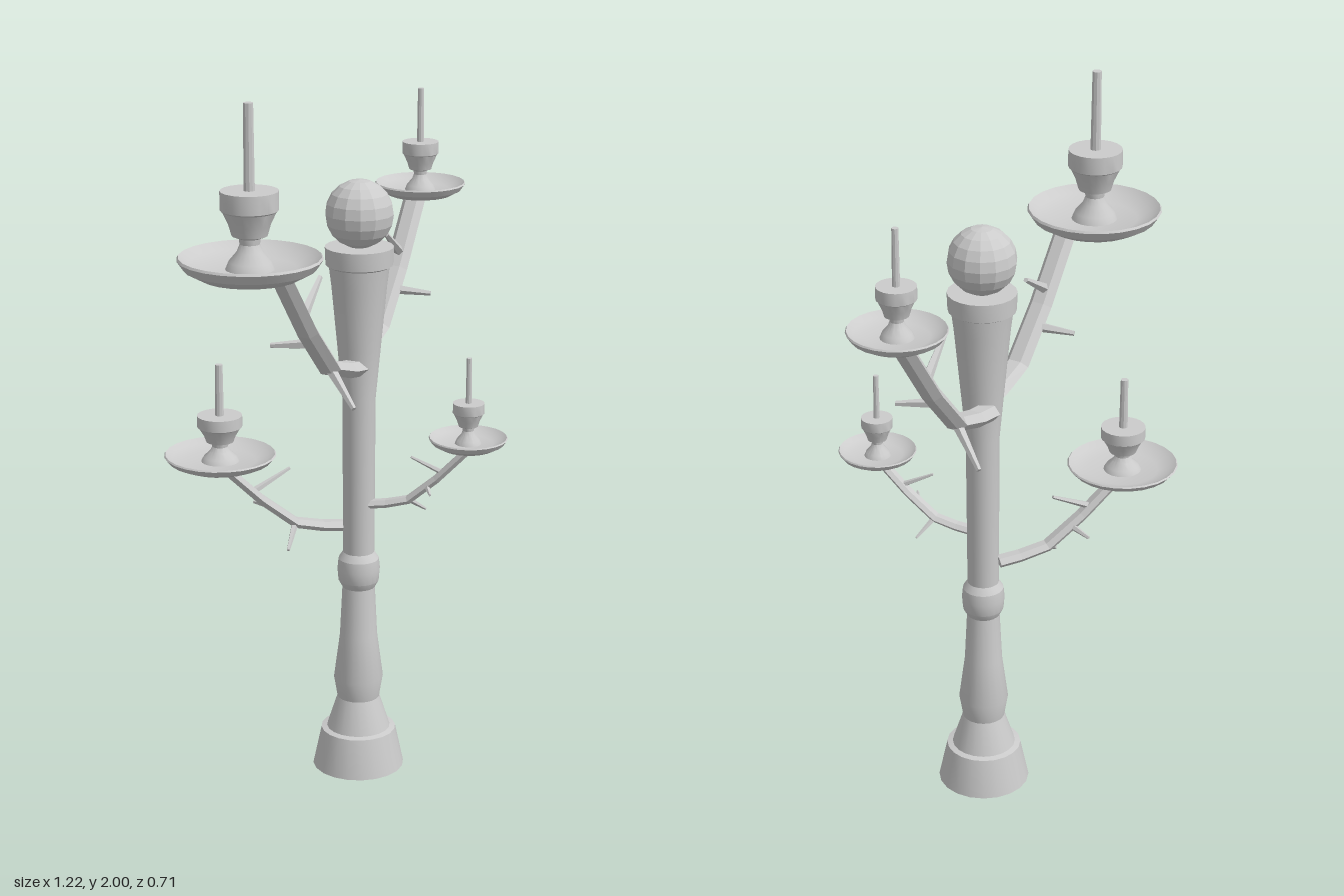
import * as THREE from 'three';
import { toCreasedNormals } from 'three/addons/utils/BufferGeometryUtils.js';

const material = new THREE.MeshStandardMaterial({ color: 0xcccccc });
const flatMaterial = new THREE.MeshStandardMaterial({ color: 0xcccccc, flatShading: true });

function named(geometry, name, mat = material) {
  const mesh = new THREE.Mesh(geometry, mat);
  mesh.name = name;
  return mesh;
}

// Turned part from [radius, height] pairs, bottom to top
function turned(profile, sides, name) {
  const points = profile.map(([r, y]) => new THREE.Vector2(r, y));
  return named(toCreasedNormals(new THREE.LatheGeometry(points, sides), 0.45), name);
}

// Six-sided branch swept along a path in the xy plane, wider than it is tall
function branch(path, halfWidth) {
  const positions = [], index = [], n = 6, end = path.length - 1;
  path.forEach((p, i) => {
    const tangent = path[Math.min(i + 1, end)].clone().sub(path[Math.max(i - 1, 0)]).normalize();
    const r = halfWidth * (1 - 0.1 * i / end);
    for (let k = 0; k < n; k++) {
      const a = k / n * Math.PI * 2, rise = Math.sin(a) * r * 0.65;
      positions.push(p.x - tangent.y * rise, p.y + tangent.x * rise, Math.cos(a) * r);
    }
  });
  for (let i = 0; i < end; i++) {
    for (let k = 0; k < n; k++) {
      const a = i * n + k, b = i * n + (k + 1) % n;
      index.push(a, a + n, b, b, a + n, b + n);
    }
  }
  // End caps
  for (let k = 1; k < n - 1; k++) {
    index.push(0, k, k + 1, end * n, end * n + k + 1, end * n + k);
  }
  const geometry = new THREE.BufferGeometry();
  geometry.setAttribute('position', new THREE.Float32BufferAttribute(positions, 3));
  geometry.setIndex(index);
  geometry.computeVertexNormals();
  return named(geometry, 'branch', flatMaterial);
}

// Tapered spike from root to tip
function thorn(root, tip, radius) {
  const dir = tip.clone().sub(root);
  const geometry = new THREE.CylinderGeometry(radius * 0.45, radius, dir.length(), 5);
  const mesh = named(geometry, 'thorn', flatMaterial);
  mesh.position.copy(root).add(tip).multiplyScalar(0.5);
  mesh.quaternion.setFromUnitVectors(new THREE.Vector3(0, 1, 0), dir.normalize());
  return mesh;
}

// Every arm shares this curve: fraction of its reach, fraction of its rise
const ARM_CURVE = [[0, 0], [0.17, 0.035], [0.39, 0.12], [0.67, 0.48], [1, 1]];

// Thorn root (reach, rise) and tip (reach, rise, sideways in branch widths)
const THORNS = [
  { root: [0.74, 0.58], tip: [0.42, 0.81, 0.5] },
  { root: [0.57, 0.36], tip: [0.65, 0.33, 3] },
  { root: [0.39, 0.13], tip: [0.52, -0.11, -2.75] }
];

// Thorny arm running from its foot on the column to its end under the saucer
function thornyArm(foot, end, halfWidth) {
  const [dx, rise, dz] = end.map((v, i) => v - foot[i]);
  const reach = Math.hypot(dx, dz);
  const place = ([s, y, side = 0]) => new THREE.Vector3(s * reach, y * rise, side * halfWidth);
  const group = new THREE.Group();
  group.name = 'thornyBranch';
  group.add(branch(ARM_CURVE.map(place), halfWidth));
  for (const { root, tip } of THORNS) {
    group.add(thorn(place(root), place(tip), halfWidth * 0.42));
  }
  group.position.set(...foot);
  group.rotation.y = Math.atan2(-dz, dx);
  return group;
}

// Drip saucer, candle cup and candle, with width and height factors
function candleHolder(position, width, height) {
  const sized = profile => profile.map(([r, y]) => [r * width, y * height]);
  const group = new THREE.Group();
  group.name = 'candleHolder';
  group.add(
    turned(sized([[0, 0], [0.07, 0.001], [0.13, 0.015], [0.17, 0.037], [0.187, 0.062],
      [0.183, 0.068], [0.16, 0.05], [0.12, 0.036], [0, 0.034]]), 24, 'saucer'),
    turned(sized([[0.064, 0.034], [0.055, 0.055], [0.034, 0.08], [0.026, 0.1], [0.028, 0.115],
      [0.046, 0.122], [0.054, 0.15], [0.07, 0.184], [0.075, 0.188], [0.075, 0.237], [0, 0.237]]), 20, 'candleCup'),
    turned(sized([[0.015, 0.23], [0.013, 0.459], [0, 0.459]]), 10, 'candle')
  );
  group.position.set(...position);
  return group;
}

const ARMS = [
  { name: 'upperRightArm', foot: [0.05, 1.195, 0.01], end: [-0.36, 1.56, 0.18], halfWidth: 0.038,
    holder: [[-0.424, 1.541, 0.143], 1, 1] },
  { name: 'upperLeftArm', foot: [0.08, 1.2, -0.052], end: [0.49, 1.585, -0.25], halfWidth: 0.037,
    holder: [[0.48, 1.567, -0.225], 0.69, 0.685] },
  { name: 'lowerRightArm', foot: [0.04, 0.722, -0.045], end: [-0.305, 0.95, -0.16], halfWidth: 0.025,
    holder: [[-0.3, 0.935, -0.16], 0.82, 0.645] },
  { name: 'lowerLeftArm', foot: [0.075, 0.798, 0.03], end: [0.24, 0.985, 0.26], halfWidth: 0.02,
    holder: [[0.243, 0.975, 0.247], 0.58, 0.573] }
];

export function createModel() {
  const model = new THREE.Group();
  model.name = 'candelabra';

  // Turned column with foot, waist ring and flared head
  const column = turned([[0, 0], [0.13, 0], [0.106, 0.113], [0.09, 0.117], [0.06, 0.21],
    [0.07, 0.27], [0.053, 0.4], [0.046, 0.545], [0.057, 0.565], [0.06, 0.6], [0.057, 0.63],
    [0.044, 0.65], [0.046, 1.1], [0.06, 1.25], [0.076, 1.42], [0.083, 1.475],
    [0.092, 1.48], [0.094, 1.53], [0, 1.53]], 20, 'column');

  // Ball on top of the column
  const ball = named(new THREE.SphereGeometry(0.094, 14, 10), 'ballFinial', flatMaterial);
  ball.position.y = 1.62;

  const post = new THREE.Group();
  post.name = 'post';
  post.position.set(0.065, 0, -0.005);
  post.add(column, ball);
  model.add(post);

  // Four arms, each carrying a candle holder
  for (const { name, foot, end, halfWidth, holder } of ARMS) {
    const arm = new THREE.Group();
    arm.name = name;
    arm.add(thornyArm(foot, end, halfWidth), candleHolder(...holder));
    model.add(arm);
  }
  return model;
}
